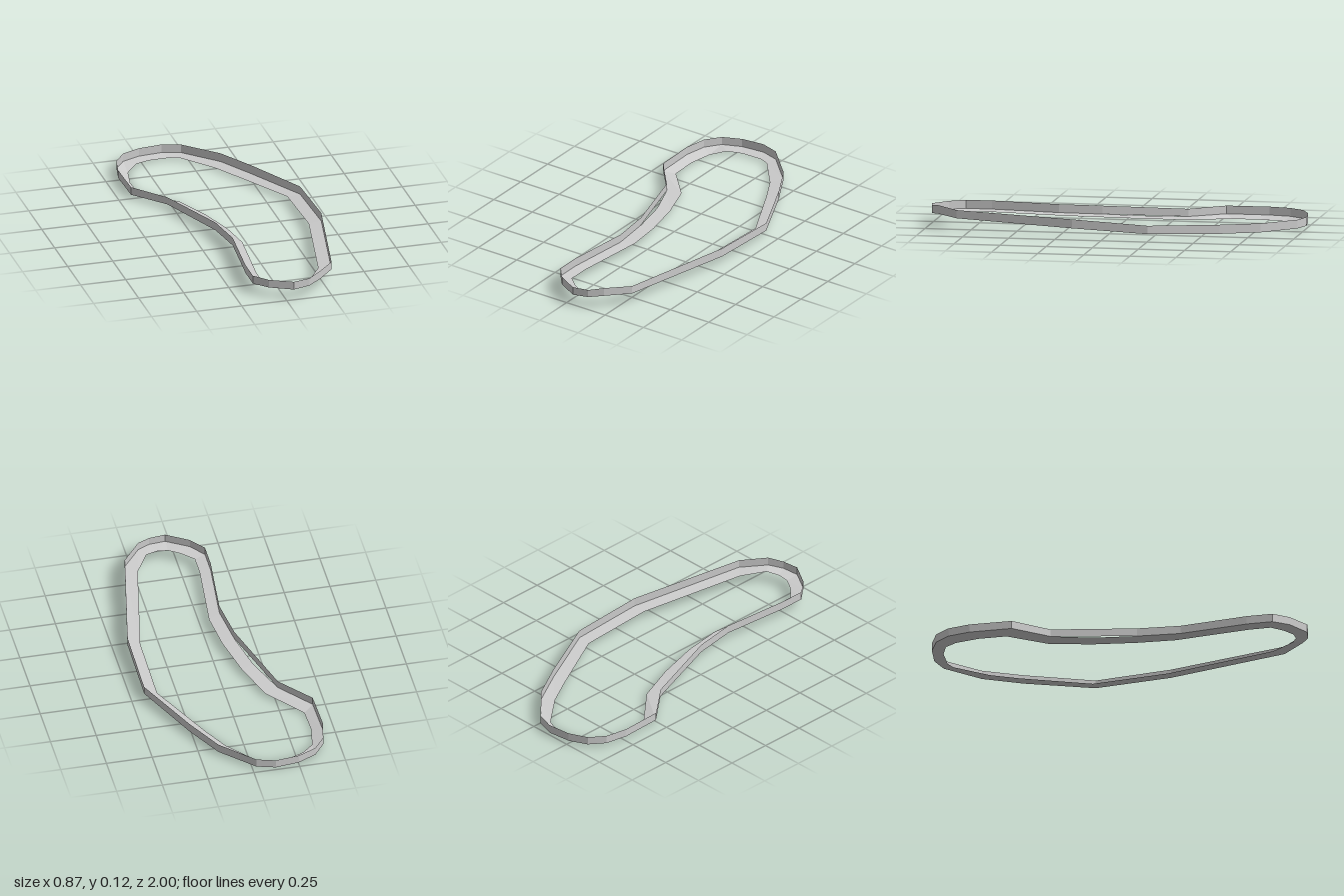
import * as THREE from 'three';

// Stations around the loop: outer x, outer z, inner x, inner z, bottom y, top y
const stations = [
  [-0.43, -0.51, -0.375, -0.55, 0.019, 0.063],
  [-0.435, -0.74, -0.38, -0.70, 0.018, 0.063],
  [-0.41, -0.86, -0.355, -0.83, 0.018, 0.063],
  [-0.35, -0.94, -0.29, -0.90, 0.018, 0.063],
  [-0.25, -0.985, -0.21, -0.93, 0.016, 0.062],
  [-0.12, -1.0, -0.09, -0.935, 0.015, 0.062],
  [-0.02, -0.97, -0.04, -0.915, 0.015, 0.062],
  [0.15, -0.80, 0.10, -0.745, 0.015, 0.063],
  [0.26, -0.60, 0.18, -0.60, 0.018, 0.067],
  [0.43, -0.24, 0.36, -0.24, 0.032, 0.077],
  [0.43, 0.17, 0.36, 0.17, 0.052, 0.10],
  [0.30, 0.82, 0.24, 0.77, 0.068, 0.112],
  [0.20, 0.94, 0.165, 0.895, 0.075, 0.121],
  [0.13, 0.985, 0.10, 0.925, 0.066, 0.108],
  [0.04, 1.0, 0.04, 0.925, 0.06, 0.105],
  [-0.08, 0.93, -0.02, 0.89, 0.057, 0.101],
  [-0.145, 0.85, -0.085, 0.83, 0.053, 0.099],
  [-0.145, 0.71, -0.085, 0.71, 0.053, 0.099],
  [-0.11, 0.34, -0.045, 0.30, 0.05, 0.095],
  [-0.14, 0.11, -0.07, 0.09, 0.044, 0.089],
  [-0.21, -0.11, -0.125, -0.14, 0.033, 0.076],
  [-0.28, -0.33, -0.205, -0.36, 0.022, 0.063],
];
const WAIST = 20; // station where the lip pulls away from the wall

// Closed strip between two loops of points
function ribbon(name, lower, upper, material) {
  const n = lower.length;
  const index = [];
  for (let i = 0; i < n; i++) {
    const j = (i + 1) % n;
    index.push(i, n + i, j, j, n + i, n + j);
  }
  const geometry = new THREE.BufferGeometry();
  geometry.setAttribute('position', new THREE.Float32BufferAttribute([...lower, ...upper].flat(), 3));
  geometry.setIndex(index);
  geometry.computeVertexNormals();
  const mesh = new THREE.Mesh(geometry, material);
  mesh.name = name;
  return mesh;
}

export function createModel() {
  const group = new THREE.Group();
  group.name = 'contourBand';
  const material = new THREE.MeshStandardMaterial({
    color: 0xcccccc, flatShading: true, side: THREE.DoubleSide,
  });

  // Upright outer wall
  const wallBottom = stations.map(([x, z, , , b]) => [x, b, z]);
  const wallTop = stations.map(([x, z, , , , t]) => [x, t, z]);
  group.add(ribbon('outerWall', wallBottom, wallTop, material));

  // Inward lip along the bottom, sloping slightly down
  const lipOuter = stations.map(([x, z, ix, iz, b], i) => {
    const k = i === WAIST ? 0.2 : 0;
    return [x + (ix - x) * k, b, z + (iz - z) * k];
  });
  const lipInner = stations.map(([, , ix, iz, b]) => [ix, b - (ix < -0.3 ? 0.018 : 0.006), iz]);
  group.add(ribbon('bottomLip', lipOuter, lipInner, material));

  return group;
}
